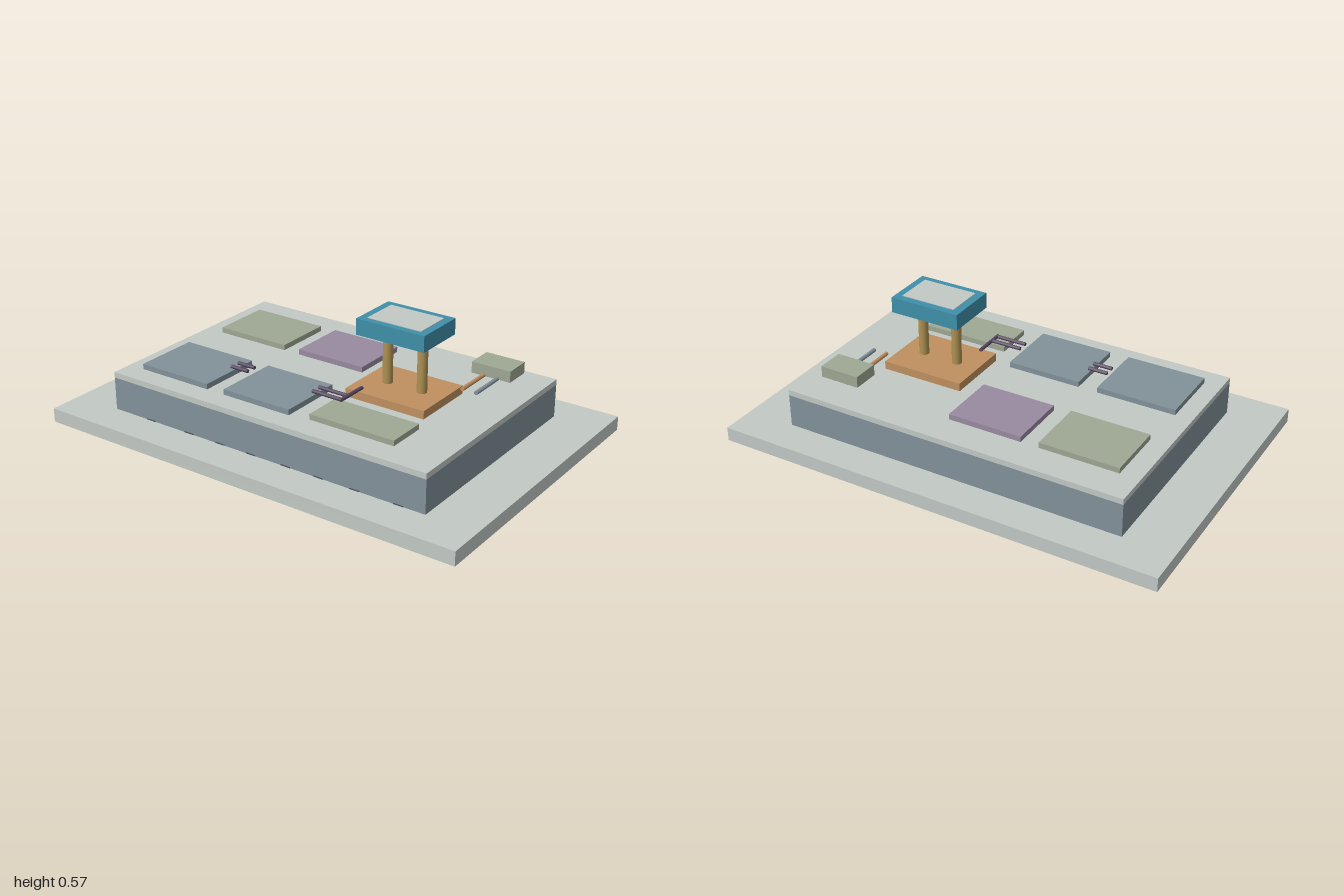
import * as THREE from 'three';

const mat = (name, color) => {
  const m = new THREE.MeshStandardMaterial({ color });
  m.name = name;
  return m;
};

export function createModel() {
  const model = new THREE.Group();
  model.name = 'plantModel';

  const stone = mat('pale stone', 0xc2c9c5);
  const slate = mat('slate blue', 0x82929a);
  const teal = mat('teal', 0x3f90aa);
  const clay = mat('clay orange', 0xc0905f);
  const brass = mat('brass', 0xae9152);
  const sage = mat('sage green', 0x9fa794);
  const mauve = mat('mauve', 0x998aa0);
  const plum = mat('dark plum', 0x56465f);
  const charcoal = mat('charcoal', 0x4a5459);

  // box given by its limits on each axis
  const box = (name, material, [x0, x1], [y0, y1], [z0, z1]) => {
    const mesh = new THREE.Mesh(new THREE.BoxGeometry(x1 - x0, y1 - y0, z1 - z0), material);
    mesh.position.set((x0 + x1) / 2, (y0 + y1) / 2, (z0 + z1) / 2);
    mesh.name = name;
    model.add(mesh);
  };

  // round bar between two points
  const bar = (name, material, radius, from, to, sides = 12) => {
    const a = new THREE.Vector3(...from);
    const b = new THREE.Vector3(...to);
    const dir = b.clone().sub(a);
    const mesh = new THREE.Mesh(new THREE.CylinderGeometry(radius, radius, dir.length(), sides), material);
    mesh.position.copy(a).add(b).multiplyScalar(0.5);
    mesh.quaternion.setFromUnitVectors(new THREE.Vector3(0, 1, 0), dir.normalize());
    mesh.name = name;
    model.add(mesh);
  };

  // ground plate, body and deck
  box('groundPlate', stone, [-1, 1], [0, 0.0625], [-0.667, 0.667]);
  box('body', slate, [-0.778, 0.778], [0.0625, 0.209], [-0.511, 0.511]);
  box('deck', stone, [-0.778, 0.778], [0.209, 0.234], [-0.511, 0.511]);

  // small marks along the foot of the front wall
  for (const x of [-0.58, -0.37, -0.205, -0.045, 0.13, 0.29, 0.46, 0.66]) {
    box('footMark', charcoal, [x - 0.023, x + 0.023], [0.0625, 0.067], [0.508, 0.513]);
  }

  // pads lying on the deck
  const padY = [0.234, 0.258];
  box('backOuterPad', sage, [-0.69, -0.337], padY, [-0.367, -0.095]);
  box('backInnerPad', mauve, [-0.257, 0.076], padY, [-0.367, -0.095]);
  box('frontOuterPad', slate, [-0.7, -0.345], padY, [0.12, 0.416]);
  box('frontInnerPad', slate, [-0.257, 0.076], padY, [0.12, 0.416]);
  box('frontStripPad', sage, [0.165, 0.562], padY, [0.222, 0.399]);

  // tower: plinth, columns, head and roof panel
  box('towerPlinth', clay, [0.155, 0.53], [0.234, 0.27], [-0.16, 0.138]);
  for (const x of [0.261, 0.427]) {
    bar('towerColumn', brass, 0.0215, [x, 0.27, -0.011], [x, 0.494, -0.011], 24);
  }
  box('towerHead', teal, [0.182, 0.503], [0.5, 0.57], [-0.128, 0.106]);
  box('roofPanel', stone, [0.217, 0.47], [0.567, 0.573], [-0.095, 0.076]);

  // paired pipes linking the pads, with a branch to the plinth
  const pipeY = 0.28;
  for (const z of [0.211, 0.256]) {
    bar('linkPipe', plum, 0.008, [-0.345, pipeY, z], [-0.257, pipeY, z]);
    bar('outletPipe', plum, 0.008, [0.076, pipeY, z], [0.222, pipeY, z]);
  }
  bar('branchPipe', plum, 0.008, [0.219, pipeY, 0.114], [0.219, pipeY, 0.262]);

  // side box with its two feed rods
  box('sideBox', sage, [0.498, 0.679], [0.275, 0.325], [-0.406, -0.284]);
  bar('feedRod', clay, 0.009, [0.555, 0.278, -0.4], [0.555, 0.278, -0.112]);
  bar('feedRod', slate, 0.009, [0.619, 0.278, -0.4], [0.619, 0.278, -0.112]);

  return model;
}
